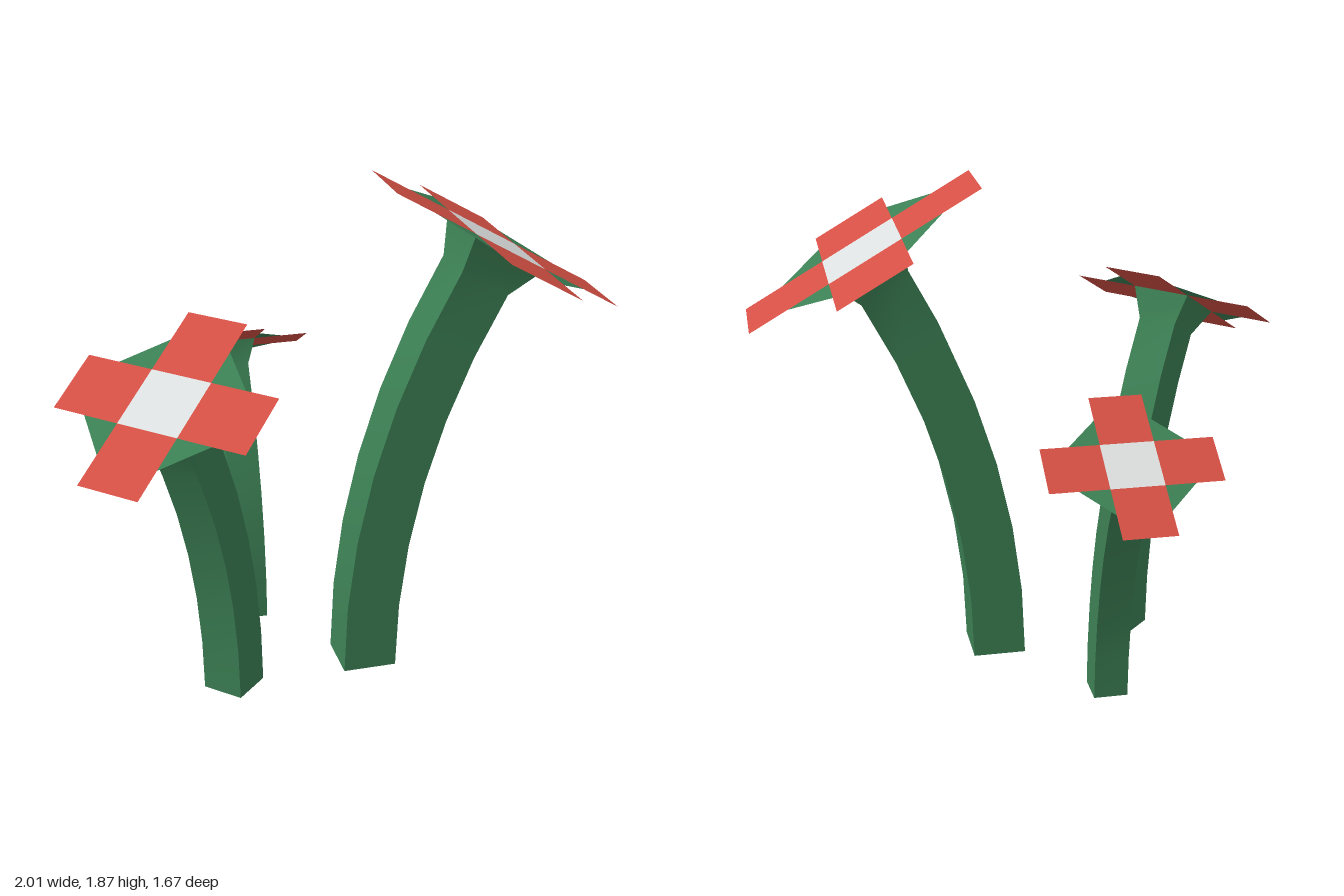
import * as THREE from 'three';
import { mergeGeometries } from 'three/addons/utils/BufferGeometryUtils.js';

const mat = (name, color) => {
  const m = new THREE.MeshStandardMaterial({ color, side: THREE.DoubleSide });
  m.name = name;
  return m;
};

const LEAN = Math.PI / 6;          // tilt at the top of the stem
const RADIUS = 3;                  // bend radius of the stem
const HALF = 0.1, HEAD_HALF = 0.15, PETAL = 0.33;
const NECK = [RADIUS * (1 - Math.cos(LEAN)), RADIUS * Math.sin(LEAN)];
const HEAD = [NECK[0] + 0.145 * Math.sin(LEAN), NECK[1] + 0.145 * Math.cos(LEAN)];

// Square stem bending toward +x, flaring out under the flower head
function stemGeometry() {
  const rings = [];
  const addRing = (x, y, a, h) => rings.push(
    [[1, 1], [1, -1], [-1, -1], [-1, 1]].map(([u, v]) =>
      [x + u * h * Math.cos(a), y - u * h * Math.sin(a), v * h]));
  const steps = 6;
  for (let i = 0; i <= steps; i++) {
    const a = LEAN * i / steps;
    addRing(RADIUS * (1 - Math.cos(a)), RADIUS * Math.sin(a), a, HALF);
  }
  addRing(HEAD[0], HEAD[1], LEAN, HEAD_HALF);

  // One strip per side: smooth along the length, sharp at the corners
  const parts = [];
  for (let k = 0; k < 4; k++) {
    const pos = [], index = [];
    rings.forEach((r, i) => {
      pos.push(...r[k], ...r[(k + 1) % 4]);
      if (i > 0) {
        const a = 2 * (i - 1);
        index.push(a, a + 1, a + 3, a, a + 3, a + 2);
      }
    });
    const g = new THREE.BufferGeometry();
    g.setAttribute('position', new THREE.Float32BufferAttribute(pos, 3));
    g.setIndex(index);
    g.computeVertexNormals();
    parts.push(g);
  }
  const base = new THREE.PlaneGeometry(2 * HALF, 2 * HALF).rotateX(Math.PI / 2);
  base.deleteAttribute('uv');
  parts.push(base);
  return mergeGeometries(parts);
}

// Triangle filling the notch between two neighbouring petals
function sepalGeometry() {
  const s = new THREE.Shape();
  s.moveTo(HEAD_HALF, HEAD_HALF);
  s.lineTo(0.32, HEAD_HALF);
  s.lineTo(HEAD_HALF, 0.32);
  return new THREE.ShapeGeometry(s).rotateX(-Math.PI / 2);
}

export function createModel() {
  const green = mat('stem green', 0x3c8054);
  const red = mat('petal red', 0xd34f44);
  const white = mat('centre white', 0xdcdfdf);

  const stemGeo = stemGeometry();
  const sepalGeo = sepalGeometry();
  const centreGeo = new THREE.PlaneGeometry(2 * HEAD_HALF, 2 * HEAD_HALF).rotateX(-Math.PI / 2);
  const petalGeo = new THREE.PlaneGeometry(PETAL, 2 * HEAD_HALF).rotateX(-Math.PI / 2)
    .translate(HEAD_HALF + PETAL / 2, 0, 0);

  const add = (parent, name, geo, material, turn = 0) => {
    const m = new THREE.Mesh(geo, material);
    m.name = name;
    m.rotation.y = turn;
    parent.add(m);
  };

  const makeFlower = (name, x, z, scale, turn) => {
    const flower = new THREE.Group();
    flower.name = name;
    add(flower, 'stem', stemGeo, green);

    // Flat head tilted with the stem
    const head = new THREE.Group();
    head.name = 'flowerHead';
    head.position.set(HEAD[0], HEAD[1], 0);
    head.rotation.z = -LEAN;
    add(head, 'centre', centreGeo, white);
    for (let i = 0; i < 4; i++) {
      add(head, 'petal', petalGeo, red, i * Math.PI / 2);
      add(head, 'sepal', sepalGeo, green, i * Math.PI / 2);
    }
    flower.add(head);

    flower.position.set(x, 0, z);
    flower.rotation.y = turn;
    flower.scale.setScalar(scale);
    return flower;
  };

  const model = new THREE.Group();
  model.name = 'flowers';
  model.add(
    makeFlower('largeFlower', 0.11, 0.17, 1, 0),
    makeFlower('mediumFlower', -0.408, 0.235, 0.785, -Math.PI * 3 / 4),
    makeFlower('smallFlower', -0.24, -0.27, 0.635, Math.PI / 2),
  );
  return model;
}
